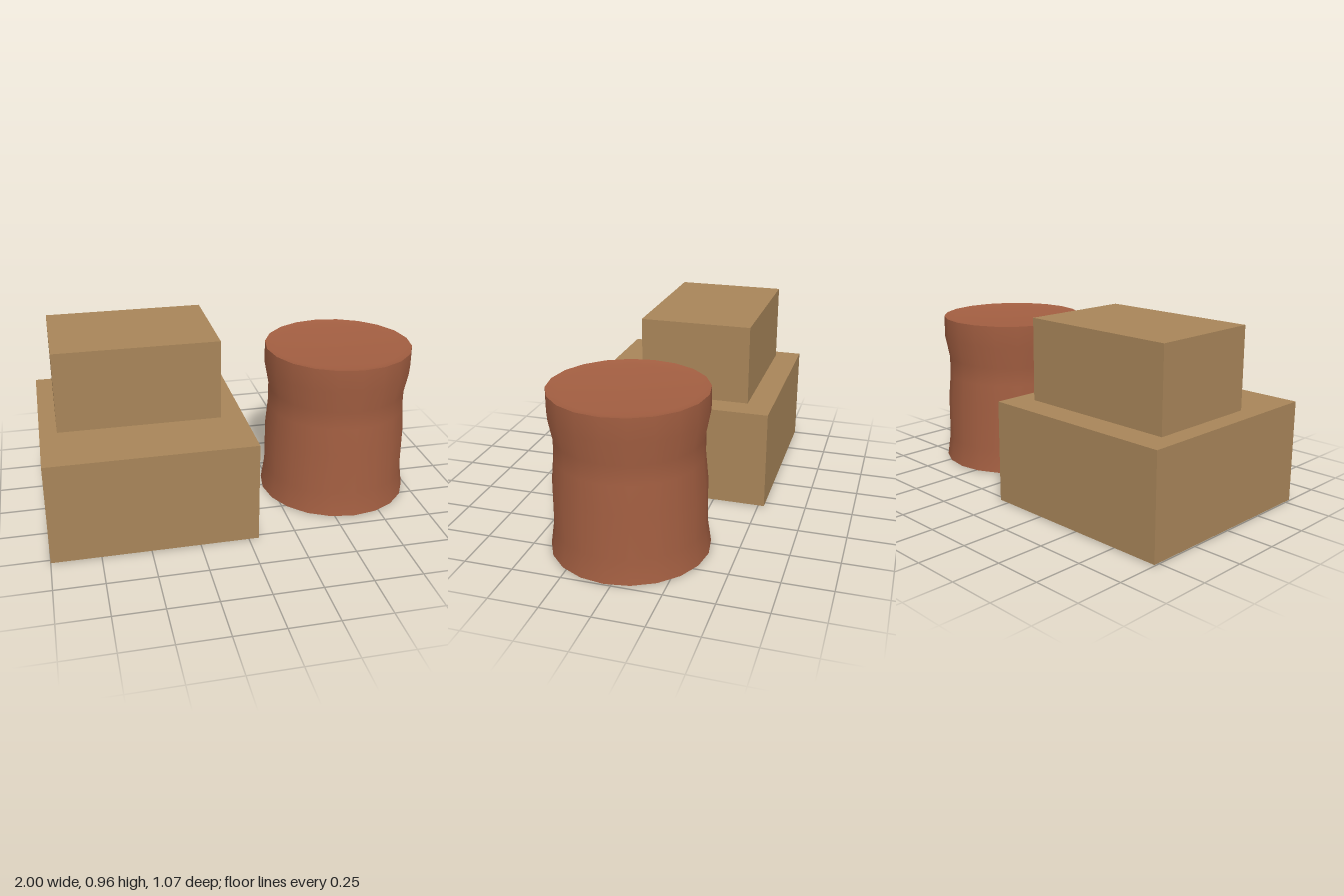
import * as THREE from 'three';

export function createModel() {
  const model = new THREE.Group();
  const cardboard = new THREE.MeshStandardMaterial({ color: 0xa88559 });
  cardboard.name = 'cardboard tan';
  const rust = new THREE.MeshStandardMaterial({ color: 0xa25e41 });
  rust.name = 'rust brown';

  // Box given by its minimum and maximum corners
  function addBox(name, min, max) {
    const size = max.map((v, i) => v - min[i]);
    const mesh = new THREE.Mesh(new THREE.BoxGeometry(...size), cardboard);
    mesh.position.set(...min.map((v, i) => v + size[i] / 2));
    mesh.name = name;
    model.add(mesh);
  }
  addBox('lowerBox', [-1, 0.005, -0.533], [0.05, 0.535, 0.533]);
  addBox('upperBox', [-0.912, 0.541, -0.4], [-0.073, 0.961, 0.19]);

  // Barrel: separate turned surfaces keep the two rims sharp
  const barrel = new THREE.Group();
  barrel.name = 'barrel';
  barrel.position.set(0.6, 0, 0.034);
  model.add(barrel);
  function addTurned(name, profile) {
    const points = profile.map(([r, y]) => new THREE.Vector2(r, y));
    const mesh = new THREE.Mesh(new THREE.LatheGeometry(points, 20), rust);
    mesh.name = name;
    barrel.add(mesh);
  }
  addTurned('barrelBase', [[0, 0], [0.1, 0.001], [0.335, 0.003], [0.4, 0.005]]);
  addTurned('barrelWall', [
    [0.4, 0.005], [0.382, 0.13], [0.381, 0.36],
    [0.368, 0.5], [0.368, 0.6], [0.391, 0.72], [0.391, 0.838],
  ]);
  // Shallow dished lid
  addTurned('barrelLid', [[0.391, 0.838], [0.335, 0.826], [0.1, 0.819], [0, 0.818]]);

  return model;
}
